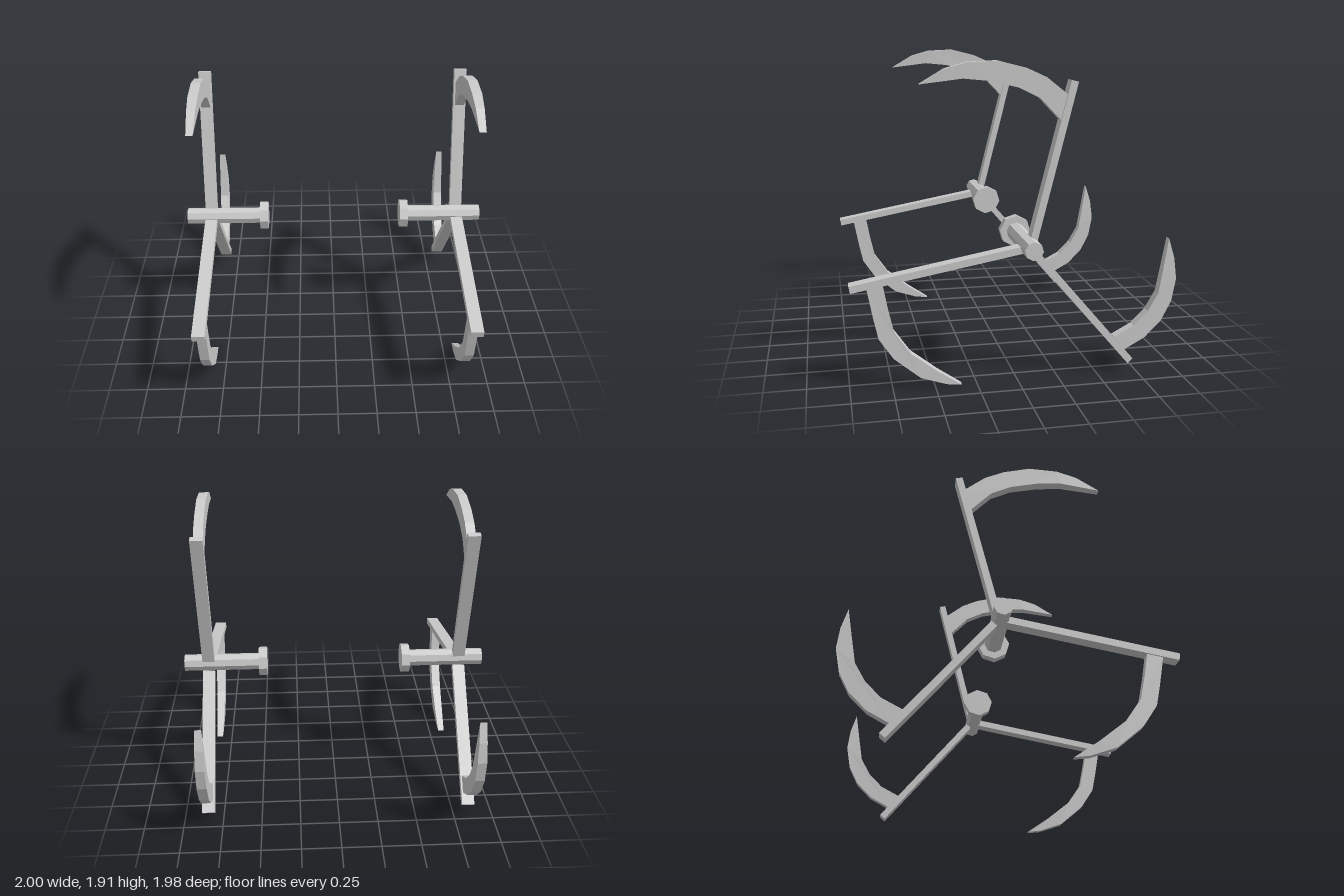
import * as THREE from 'three';

const material = new THREE.MeshStandardMaterial({ color: 0xcccccc, flatShading: true });
const HUB = { y: 0.838, z: -0.061 };
const WHEEL_X = 0.84;

// Side profiles as [-z, y]: each arm runs from the hub to its outer end.
const arms = [
  [[0.085, 0.86], [0.32, 1.795]],
  [[0.03, 0.818], [-0.987, 0.634]],
  [[0.1, 0.789], [0.704, 0.077]],
];

// Blade outlines as [-z, y]: outer edge, tip (index 6), inner edge.
const blades = [
  [[0.283, 1.717], [0.156, 1.817], [0.04, 1.87], [-0.124, 1.912], [-0.3, 1.905], [-0.426, 1.87], [-0.569, 1.786],
    [-0.325, 1.815], [-0.172, 1.8], [-0.003, 1.76], [0.119, 1.7], [0.246, 1.567]],
  [[-0.89, 0.632], [-0.855, 0.447], [-0.828, 0.325], [-0.743, 0.198], [-0.585, 0.066], [-0.431, 0.013], [-0.341, 0.002],
    [-0.489, 0.103], [-0.643, 0.225], [-0.738, 0.362], [-0.77, 0.505], [-0.796, 0.648]],
  [[0.669, 0.151], [0.796, 0.22], [0.897, 0.32], [0.96, 0.442], [0.987, 0.584], [0.971, 0.716], [0.934, 0.838],
    [0.902, 0.648], [0.876, 0.5], [0.812, 0.389], [0.722, 0.299], [0.6, 0.235]],
];

function armGeometry([[x0, y0], [x1, y1]]) {
  const geo = new THREE.BoxGeometry(Math.hypot(x1 - x0, y1 - y0), 0.043, 0.08);
  geo.rotateZ(Math.atan2(y1 - y0, x1 - x0));
  geo.translate((x0 + x1) / 2, (y0 + y1) / 2, 0);
  return geo.rotateY(Math.PI / 2);
}

// Curved blade, thinned towards its tip
function bladeGeometry(outline) {
  const shape = new THREE.Shape(outline.map(([x, y]) => new THREE.Vector2(x, y)));
  const geo = new THREE.ExtrudeGeometry(shape, { depth: 1, bevelEnabled: false });
  const [tx, ty] = outline[6];
  const pos = geo.attributes.position;
  for (let i = 0; i < pos.count; i++) {
    const d = Math.hypot(pos.getX(i) - tx, pos.getY(i) - ty);
    const width = 0.042 + 0.018 * Math.min(1, d / 0.3);
    pos.setZ(i, (pos.getZ(i) - 0.5) * width);
  }
  geo.rotateY(Math.PI / 2);
  geo.computeVertexNormals();
  return geo;
}

// Octagonal bar lying along x
function barGeometry(radius, length) {
  return new THREE.CylinderGeometry(radius, radius, length, 8, 1, false, -0.1).rotateZ(-Math.PI / 2);
}

function addMesh(parent, name, geo, x, y = 0, z = 0) {
  const mesh = new THREE.Mesh(geo, material);
  mesh.name = name;
  mesh.position.set(x, y, z);
  parent.add(mesh);
}

export function createModel() {
  const model = new THREE.Group();
  model.name = 'bladedWheels';
  for (const [side, s] of [['left', 1], ['right', -1]]) {
    const wheel = new THREE.Group();
    wheel.name = side + 'Wheel';
    // Axle with a flange at its inner end
    addMesh(wheel, 'axle', barGeometry(0.056, 0.5), s * 0.75, HUB.y, HUB.z);
    addMesh(wheel, 'flange', barGeometry(0.098, 0.055), s * 0.4775, HUB.y, HUB.z);
    // Three spokes, each carrying a hooked blade
    arms.forEach((arm, i) => {
      addMesh(wheel, 'arm' + (i + 1), armGeometry(arm), s * WHEEL_X);
      addMesh(wheel, 'blade' + (i + 1), bladeGeometry(blades[i]), s * WHEEL_X);
    });
    model.add(wheel);
  }
  return model;
}
